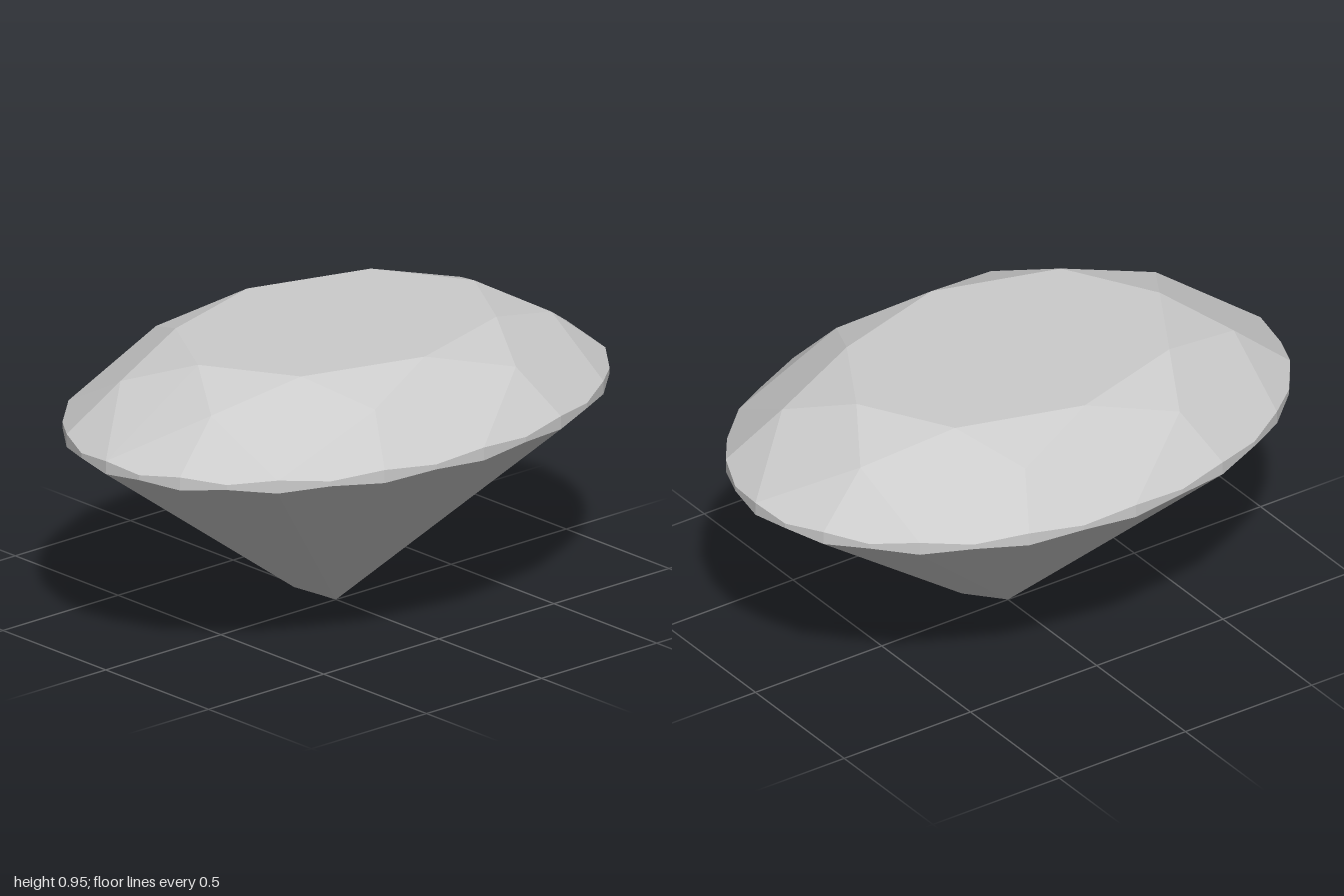
import * as THREE from 'three';

const SIDES = 32;
const HALF_WIDTH = 0.72; // oval: half width in x, half length 1 in z

// Point on the oval; step counts 1/32 turns from the front (+z) towards +x
function point(radius, step, y) {
  const a = (step / SIDES) * Math.PI * 2;
  return [HALF_WIDTH * radius * Math.sin(a), y, radius * Math.cos(a)];
}

// Faceted mesh from triangles given as corner triples
function facets(name, triangles) {
  const geometry = new THREE.BufferGeometry();
  geometry.setAttribute('position', new THREE.Float32BufferAttribute(triangles.flat(2), 3));
  geometry.computeVertexNormals();
  const material = new THREE.MeshStandardMaterial({ color: 0xcccccc, flatShading: true });
  const mesh = new THREE.Mesh(geometry, material);
  mesh.name = name;
  return mesh;
}

export function createModel() {
  const group = new THREE.Group();
  group.name = 'ovalGem';

  // Scalloped girdle edges, and the rings of the crown
  const upper = (i) => point(1, i, i % 2 ? 0.705 : 0.72);
  const lower = (i) => point(1, i, i % 2 ? 0.688 : 0.675);
  const tableCorner = (k) => point(0.6, k * 4, 0.955);
  const starPoint = (k) => point(0.8, k * 4 + 2, 0.873);

  // Pavilion facets meet at the culet, or at a low point towards each long end
  const culet = [0, 0, 0];
  const frontTip = [0, 0.087, 0.182];
  const backTip = [0, 0.087, -0.182];
  const apex = (i) => {
    const c = Math.cos(((i + 0.5) / SIDES) * Math.PI * 2);
    if (Math.abs(c) < Math.SQRT1_2) return culet;
    return c > 0 ? frontTip : backTip;
  };

  const table = [], crown = [], girdle = [], pavilion = [];

  for (let k = 0; k < 8; k++) {
    const corner = tableCorner(k), next = tableCorner(k + 1);
    const star = starPoint(k), previous = starPoint(k - 1), edge = upper(k * 4);
    table.push([[0, 0.955, 0], corner, next]);
    // Star facet, then the kite below the table corner
    crown.push([star, next, corner]);
    crown.push([previous, edge, corner], [edge, star, corner]);
    // Upper girdle facets
    for (let i = k * 4; i < k * 4 + 4; i++) crown.push([upper(i), upper(i + 1), star]);
  }

  for (let i = 0; i < SIDES; i++) {
    girdle.push([lower(i), lower(i + 1), upper(i + 1)], [lower(i), upper(i + 1), upper(i)]);
    pavilion.push([lower(i + 1), lower(i), apex(i)]);
    // Facet closing the step between two different meeting points
    if (apex(i - 1) !== apex(i)) pavilion.push([apex(i - 1), apex(i), lower(i)]);
  }

  group.add(
    facets('table', table),
    facets('crown', crown),
    facets('girdle', girdle),
    facets('pavilion', pavilion)
  );
  return group;
}
